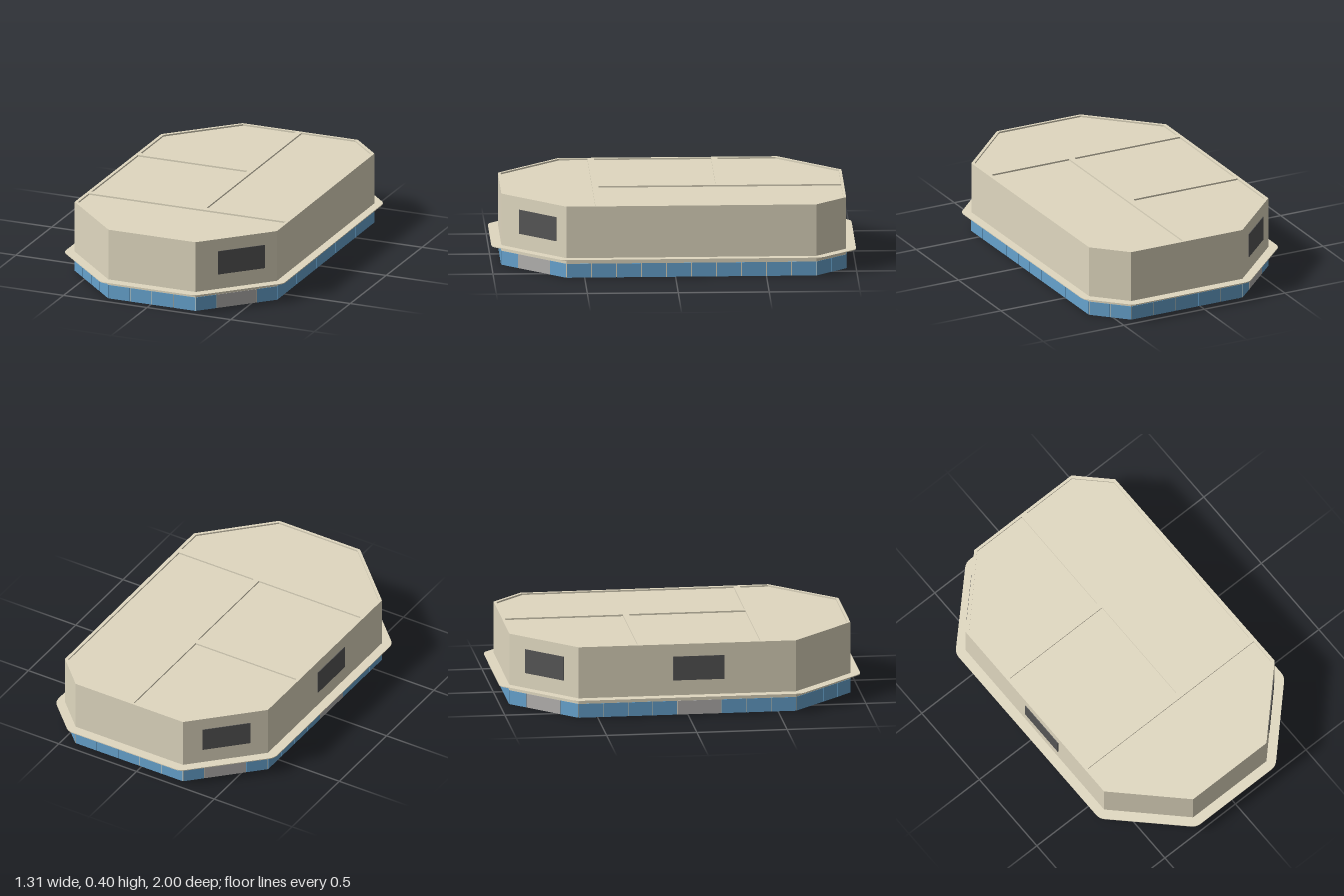
import * as THREE from 'three';

const mat = (color) => new THREE.MeshStandardMaterial({ color, side: THREE.DoubleSide, flatShading: true });
const cream = mat(0xe0d8c0), blue = mat(0x66a2cd), grey = mat(0xb2b0ae), dark = mat(0x555555);

const TOP = 0.4, WALL = 0.006;

// plan outlines as [x, z]
const PLAN = [[-0.605, -0.605], [-0.265, -0.945], [0.425, -0.945], [0.597, -0.775],
  [0.605, 0.6], [0.265, 0.945], [-0.255, 0.945], [-0.605, 0.6]];
const LEDGE = [[-0.66, -0.625], [-0.28, -1], [0.44, -1], [0.643, -0.8],
  [0.655, 0.625], [0.285, 1], [-0.275, 1], [-0.658, 0.625]];
const ROOMS = [
  [[-0.587, -0.595], [-0.257, -0.93], [0.06, -0.93], [0.06, -0.275], [-0.587, -0.275]],
  [[-0.587, -0.24], [0.067, -0.24], [0.067, 0.405], [-0.587, 0.405]],
  [[0.095, -0.93], [0.415, -0.93], [0.58, -0.767], [0.582, 0.405], [0.1, 0.405]],
  [[-0.587, 0.44], [0.587, 0.44], [0.587, 0.595], [0.258, 0.93], [-0.248, 0.93], [-0.587, 0.595]],
];

const vecs = (pts) => pts.map(([x, z]) => new THREE.Vector2(x, z));

// move every side of a convex outline inward by d
function inset(pts, d) {
  const v = vecs(pts), n = v.length;
  return v.map((p, i) => {
    const a = p.clone().sub(v[(i + n - 1) % n]).normalize();
    const b = v[(i + 1) % n].clone().sub(p).normalize();
    const na = new THREE.Vector2(-a.y, a.x), nb = new THREE.Vector2(-b.y, b.x);
    const m = na.clone().add(nb).multiplyScalar(d / (1 + na.dot(nb)));
    return [p.x + m.x, p.y + m.y];
  });
}

// outline with small rounded corners
function roundedShape(pts, r) {
  const v = vecs(pts), n = v.length, s = new THREE.Shape();
  v.forEach((p, i) => {
    const toward = (q) => p.clone().add(q.clone().sub(p).setLength(r));
    const a = toward(v[(i + n - 1) % n]), b = toward(v[(i + 1) % n]);
    if (i) s.lineTo(a.x, a.y); else s.moveTo(a.x, a.y);
    s.quadraticCurveTo(p.x, p.y, b.x, b.y);
  });
  s.closePath();
  return s;
}

// horizontal slab between two heights
function slab(name, shape, holes, y0, y1, material) {
  shape.holes = holes.map((h) => new THREE.Path(vecs(h)));
  const geo = new THREE.ExtrudeGeometry(shape, { depth: y1 - y0, bevelEnabled: false, curveSegments: 4 });
  geo.rotateX(Math.PI / 2).translate(0, y1, 0);
  const mesh = new THREE.Mesh(geo, material);
  mesh.name = name;
  return mesh;
}

// box lying in wall i, between fractions t0..t1 of its length
function onWall(name, i, t0, t1, y0, y1, thick, gap, material) {
  const [ax, az] = PLAN[i], [bx, bz] = PLAN[(i + 1) % PLAN.length];
  const dx = bx - ax, dz = bz - az, len = Math.hypot(dx, dz), t = (t0 + t1) / 2;
  const mesh = new THREE.Mesh(new THREE.BoxGeometry(len * (t1 - t0) - gap, y1 - y0, thick), material);
  mesh.position.set(ax + dx * t - dz / len * WALL / 2, (y0 + y1) / 2, az + dz * t + dx / len * WALL / 2);
  mesh.rotation.y = Math.atan2(-dz, dx);
  mesh.name = name;
  return mesh;
}

export function createModel() {
  const model = new THREE.Group();
  model.name = 'building';

  // outer walls, open at the bottom
  model.add(slab('walls', new THREE.Shape(vecs(PLAN)), [inset(PLAN, WALL)], 0, TOP, cream));

  // roof frame with recessed room panels
  model.add(slab('roofFrame', new THREE.Shape(vecs(inset(PLAN, WALL / 2))), ROOMS, TOP - 0.02, TOP, cream));
  ROOMS.forEach((room) => model.add(
    slab('roofPanel', new THREE.Shape(vecs(room)), [], TOP - 0.013, TOP - 0.009, cream)));

  // thin ledge around the walls
  model.add(slab('ledge', roundedShape(LEDGE, 0.03), [inset(PLAN, WALL / 2)], 0.105, 0.11, cream));

  // base cladding: [panels before, grey span, panels after] or a plain count
  const base = new THREE.Group();
  base.name = 'baseCladding';
  const row = (wall, t0, t1, count) => {
    for (let k = 0; k < count; k++) {
      const a = t0 + (t1 - t0) * k / count, b = t0 + (t1 - t0) * (k + 1) / count;
      base.add(onWall('basePanel', wall, a, b, 0, 0.078, 0.01, 0.004, blue));
    }
  };
  const cladding = [
    [1, 0.26, 0.75, 1], 5, 2, 10, [1, 0.25, 0.74, 1], 4, 4, [3, 0.345, 0.545, 4],
  ];
  cladding.forEach((c, wall) => {
    if (typeof c === 'number') return row(wall, 0, 1, c);
    row(wall, 0, c[1], c[0]);
    row(wall, c[2], 1, c[3]);
    base.add(onWall('greyPanel', wall, c[1], c[2], 0, 0.078, 0.01, 0.002, grey));
  });
  model.add(base);

  // windows: wall, start, end
  [[0, 0.21, 0.77], [4, 0.15, 0.725], [7, 0.33, 0.565]].forEach(([wall, a, b]) =>
    model.add(onWall('window', wall, a, b, 0.195, 0.33, 0.014, 0, dark)));

  return model;
}
